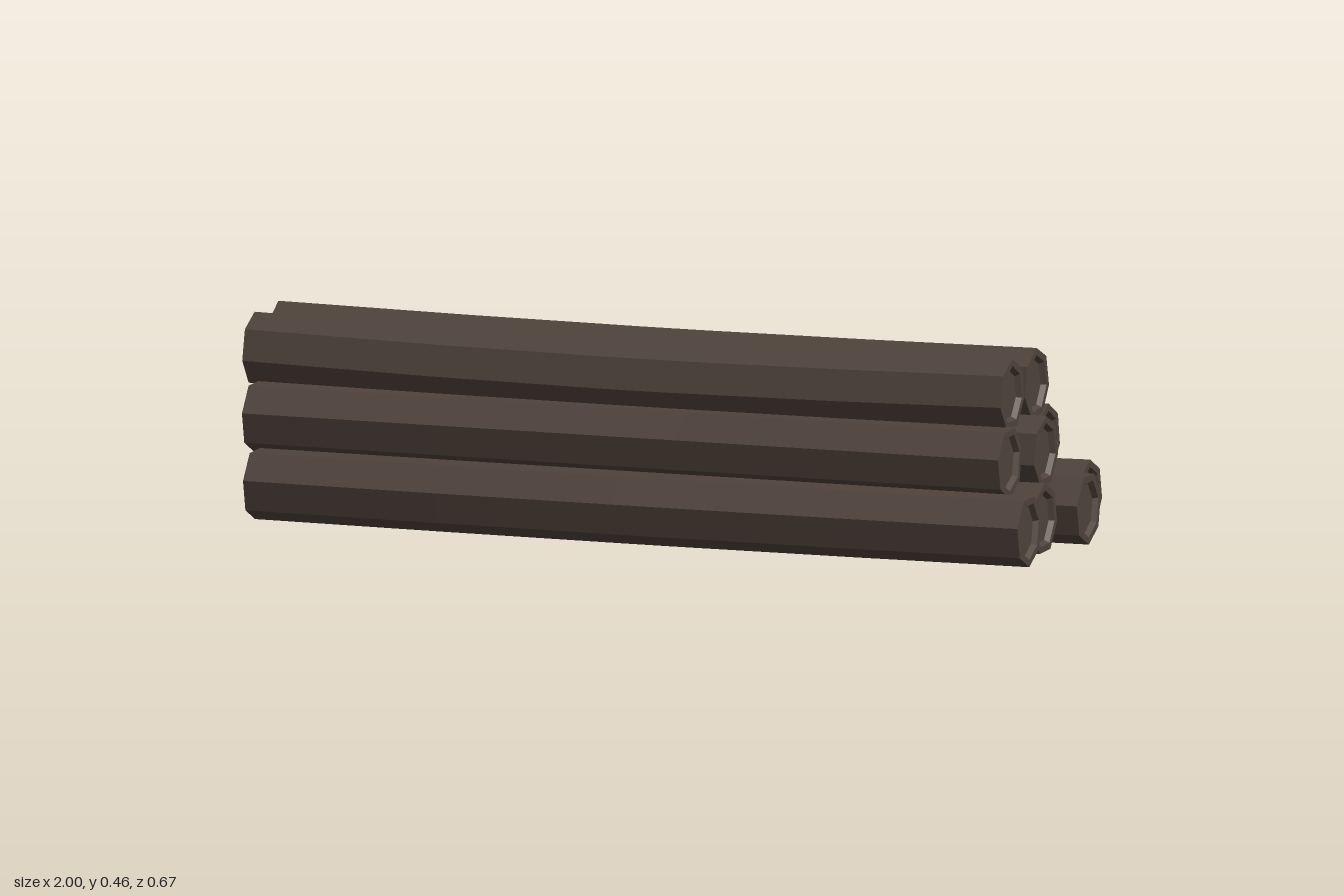
import * as THREE from 'three';

const SIDES = 7;

// Each log: z, y, left end, right end, roll (PI = point down), middle bend in z and y
const LOGS = [
  ['bottomLog1', 0.243, 0.093, -0.94, 0.97, Math.PI, 0.010, 0.000],
  ['bottomLog2', 0.077, 0.093, -0.95, 0.95, 0, 0.000, -0.012],
  ['bottomLog3', -0.086, 0.093, -0.91, 1.00, Math.PI, 0.000, -0.003],
  ['bottomLog4', -0.250, 0.093, -0.96, 0.945, 0, 0.000, -0.012],
  ['middleLog1', 0.152, 0.235, -0.975, 0.89, Math.PI, -0.010, -0.002],
  ['middleLog2', 0.000, 0.237, -0.94, 0.925, 0, 0.003, -0.005],
  ['middleLog3', -0.169, 0.234, -1.00, 0.87, -0.04, -0.008, -0.005],
  ['topLog1', 0.079, 0.381, -1.00, 0.87, -0.03, 0.009, -0.011],
  ['topLog2', -0.092, 0.379, -1.00, 0.87, 0.03, -0.007, -0.010],
];

// Loft of seven-sided rings along x, with a raised rim and sunken face at both ends
function logGeometry(x0, x1, roll, bendZ, bendY) {
  const L = x1 - x0, depth = 0.012;
  // x, radius, skew (slants the ring so the bark splits at an angle)
  const rings = [
    [x0 + depth, 0.060, 0],
    [x0, 0.068, 0],
    [x0, 0.085, 0],
    [x0 + L * 0.25, 0.086, 0],
    [x0 + L * 0.48, 0.0865, 0],
    [x0 + L * 0.56, 0.0865, 0.04],
    [x0 + L * 0.78, 0.086, 0],
    [x1, 0.085, 0],
    [x1, 0.068, 0],
    [x1 - depth, 0.060, 0],
  ];
  const point = (i, k) => {
    const [x, r, skew] = rings[i];
    const a = roll + (k / SIDES) * Math.PI * 2;
    const t = THREE.MathUtils.clamp((x - x0) / L, 0, 1);
    const bend = Math.sin(t * Math.PI);
    return [x + skew * Math.sin(a * 2), r * Math.cos(a) + bendY * bend, r * Math.sin(a) + bendZ * bend];
  };
  const pos = [];
  const tri = (a, b, c) => pos.push(...a, ...b, ...c);
  const last = rings.length - 1;
  for (let k = 0; k < SIDES; k++) {
    for (let i = 0; i < last; i++) {
      const a = point(i, k), b = point(i, k + 1), c = point(i + 1, k + 1), d = point(i + 1, k);
      tri(a, b, c);
      tri(a, c, d);
    }
    // sunken end faces
    tri([rings[0][0], 0, 0], point(0, k + 1), point(0, k));
    tri([rings[last][0], 0, 0], point(last, k), point(last, k + 1));
  }
  const g = new THREE.BufferGeometry();
  g.setAttribute('position', new THREE.Float32BufferAttribute(pos, 3));
  g.computeVertexNormals();
  return g;
}

export function createModel() {
  const group = new THREE.Group();
  group.name = 'logPile';
  const bark = new THREE.MeshStandardMaterial({ color: 0x4f433b, flatShading: true });
  bark.name = 'dark bark';

  for (const [name, z, y, x0, x1, roll, bendZ, bendY] of LOGS) {
    const log = new THREE.Mesh(logGeometry(x0, x1, roll, bendZ, bendY), bark);
    log.name = name;
    log.position.set(0, y, z);
    group.add(log);
  }
  return group;
}
